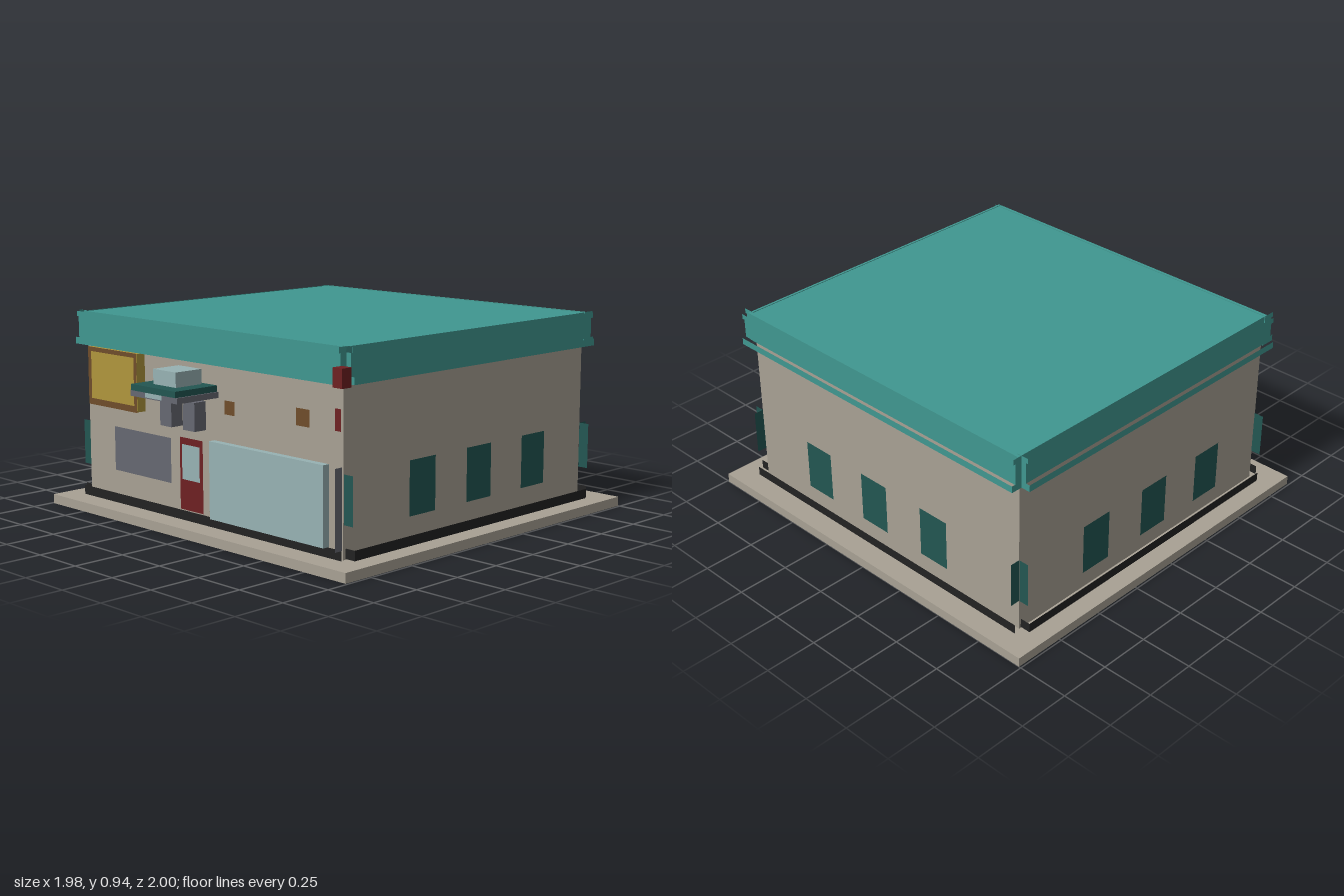
import * as THREE from 'three';

export function createModel() {
  const root = new THREE.Group();
  root.name = 'building';

  const mat = (name, color) => {
    const m = new THREE.MeshStandardMaterial({ color, side: THREE.DoubleSide });
    m.name = name;
    return m;
  };
  const stone = mat('stone', 0xa8a194);
  const teal = mat('teal', 0x409790);
  const darkTeal = mat('dark teal', 0x225652);
  const black = mat('black', 0x222222);
  const grey = mat('grey', 0x666871);
  const glass = mat('pale glass', 0x97b2b3);
  const red = mat('red', 0x6e2022);
  const gold = mat('gold', 0xb0963c);
  const brown = mat('brown', 0x6f4d2a);
  // trims are hollow shells, so only their outer faces show
  const trimTeal = teal.clone();
  const trimBlack = black.clone();
  const trimDark = darkTeal.clone();
  for (const m of [trimTeal, trimBlack, trimDark, stone, teal]) m.side = THREE.FrontSide;

  function add(name, geo, material, x = 0, y = 0, z = 0) {
    const mesh = new THREE.Mesh(geo, material);
    mesh.name = name;
    mesh.position.set(x, y, z);
    root.add(mesh);
    return mesh;
  }
  // box given by its limits on each axis
  function box(name, m, x0, x1, y0, y1, z0, z1) {
    return add(name, new THREE.BoxGeometry(x1 - x0, y1 - y0, z1 - z0), m,
      (x0 + x1) / 2, (y0 + y1) / 2, (z0 + z1) / 2);
  }
  // box without its top and bottom faces
  function sleeve(name, m, ...limits) {
    const mesh = box(name, m, ...limits);
    const idx = Array.from(mesh.geometry.index.array);
    mesh.geometry.setIndex([...idx.slice(0, 12), ...idx.slice(24)]);
    mesh.geometry.clearGroups();
    return mesh;
  }
  // flat panel facing z
  function panelZ(name, m, x0, x1, y0, y1, z) {
    return add(name, new THREE.PlaneGeometry(x1 - x0, y1 - y0), m, (x0 + x1) / 2, (y0 + y1) / 2, z);
  }
  // flat panel facing x
  function panelX(name, m, z0, z1, y0, y1, x) {
    const p = add(name, new THREE.PlaneGeometry(z1 - z0, y1 - y0), m, x, (y0 + y1) / 2, (z0 + z1) / 2);
    p.rotation.y = Math.PI / 2;
    return p;
  }

  // ground slab, walls and roof
  box('groundSlab', stone, -0.99, 0.99, 0, 0.045, -1, 0.89);
  box('walls', stone, -0.855, 0.85, 0.045, 0.8, -0.86, 0.76);
  box('roof', teal, -0.868, 0.866, 0.8, 0.942, -0.88, 0.77);

  // three stacked cornice bands: bottom, top, overhang
  const bands = [[0.79, 0.822, 0.06], [0.822, 0.92, 0.04], [0.92, 0.945, 0.05]];
  bands.forEach(([y0, y1, d], i) => {
    sleeve('frontCornice', trimTeal, -0.872, 0.872, y0, y1, 0.75, 0.76 + d);
    sleeve('backCornice', trimTeal, -0.872, 0.872, y0, y1, -0.86 - d, -0.85);
    for (const s of [-1, 1]) {
      const a = s * 0.85, b = s * (0.858 + d);
      sleeve('sideCornice', trimTeal, Math.min(a, b), Math.max(a, b), y0, y1, -0.865, 0.765);
      // dark ends of the top band
      if (i === 2) {
        const e = s * 0.868;
        panelZ('corniceEnd', trimDark, Math.min(e, b), Math.max(e, b), y0, y1, 0.767);
      }
    }
  });

  // black plinth
  panelZ('frontPlinth', black, -0.87, 0.87, 0.05, 0.095, 0.79);
  panelZ('backPlinth', black, -0.87, 0.87, 0.05, 0.095, -0.9);
  sleeve('leftPlinth', trimBlack, 0.855, 0.907, 0.05, 0.095, -0.85, 0.75);
  sleeve('rightPlinth', trimBlack, -0.907, -0.855, 0.05, 0.095, -0.85, 0.75);

  // shutters on the sides and back, and fins on the corners
  for (const c of [0.33, -0.045, -0.43]) {
    for (const s of [-1, 1]) panelX('sideWindow', darkTeal, c - 0.083, c + 0.083, 0.18, 0.425, s * 0.905);
    panelZ('backWindow', darkTeal, c - 0.03, c + 0.135, 0.18, 0.425, -0.905);
  }
  for (const s of [-1, 1]) {
    for (const z of [-0.858, 0.758]) panelZ('cornerFin', darkTeal, s * 0.878 - 0.026, s * 0.878 + 0.026, 0.195, 0.41, z);
    panelX('backCornerFin', darkTeal, -0.907, -0.858, 0.195, 0.41, s * 0.853);
  }

  // gold sign with a brown frame
  box('signBox', gold, -0.79, -0.43, 0.51, 0.782, 0.76, 0.808);
  const frame = new THREE.Shape([[-0.79, 0.508], [-0.428, 0.508], [-0.428, 0.784], [-0.79, 0.784]]
    .map(p => new THREE.Vector2(...p)));
  frame.holes.push(new THREE.Path([[-0.767, 0.538], [-0.767, 0.763], [-0.449, 0.763], [-0.449, 0.538]]
    .map(p => new THREE.Vector2(...p))));
  add('signFrame', new THREE.ShapeGeometry(frame), brown, 0, 0, 0.811);

  // front wall panels and door
  panelZ('greyPanel', grey, -0.635, -0.225, 0.205, 0.415, 0.782);
  panelZ('door', red, -0.157, 0, 0.098, 0.432, 0.786);
  panelZ('doorGlass', glass, -0.137, -0.017, 0.24, 0.402, 0.791);
  box('displayWindow', glass, 0.093, 0.803, 0.1, 0.452, 0.797, 0.83);
  panelZ('smallPlaque', brown, 0.155, 0.22, 0.575, 0.637, 0.79);
  panelZ('largePlaque', brown, 0.602, 0.682, 0.587, 0.662, 0.79);

  // canopy over the door
  box('canopyBase', grey, -0.24, 0.08, 0.635, 0.662, 0.76, 0.996);
  box('canopyTop', darkTeal, -0.23, 0.072, 0.662, 0.69, 0.76, 1.0);
  box('canopySkylight', glass, -0.157, -0.003, 0.69, 0.758, 0.785, 0.933);
  panelZ('canopyFrontPane', glass, -0.135, -0.022, 0.64, 0.661, 0.998);

  // bracket lamps under the canopy, with a cut outer-to-inner corner
  for (const s of [-1, 1]) {
    const lamp = new THREE.Shape([[0.04, 0.49], [0.118, 0.49], [0.118, 0.62], [0.055, 0.62], [0.04, 0.6]]
      .map(([x, y]) => new THREE.Vector2(s * x, y)));
    add('canopyLamp', new THREE.ExtrudeGeometry(lamp, { depth: 0.066, bevelEnabled: false }), grey, -0.08, 0, 0.798);
  }

  // items at the front left corner
  box('cornerLamp', red, 0.893, 0.947, 0.79, 0.872, 0.813, 0.867);
  panelZ('redPlate', red, 0.86, 0.893, 0.602, 0.695, 0.818);
  panelX('greyPost', grey, 0.798, 0.838, 0.098, 0.45, 0.88);

  return root;
}
